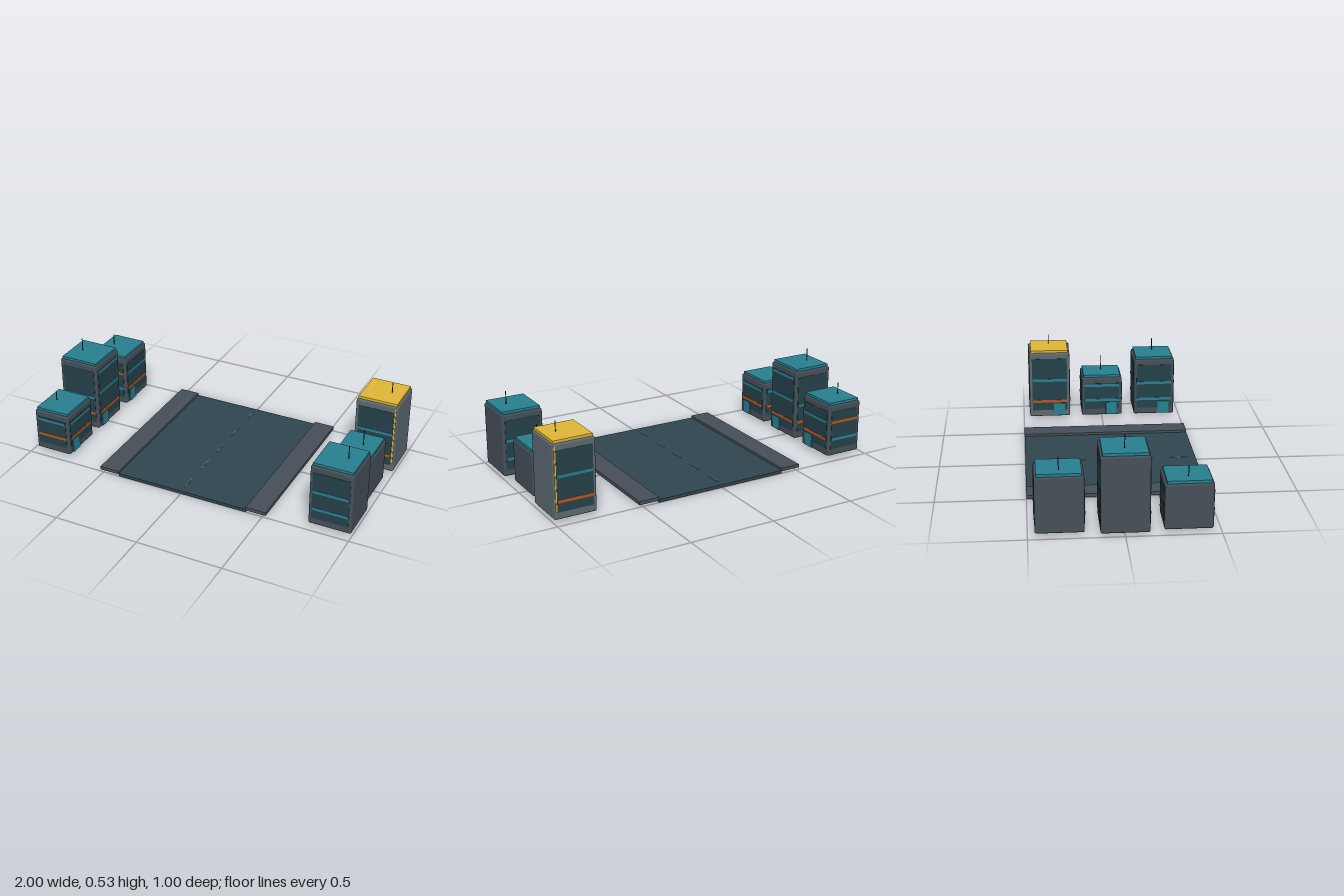
import * as THREE from 'three';
import { RoundedBoxGeometry } from 'three/addons/geometries/RoundedBoxGeometry.js';

const mat = (color) => new THREE.MeshStandardMaterial({ color });
const M = {
  wall: mat(0x454f58), paleWall: mat(0x5c6971), road: mat(0x30454f), walk: mat(0x454f58),
  window: mat(0x25414a), teal: mat(0x288090), yellow: mat(0xe0b636),
  orange: mat(0xb5561f), dash: mat(0x52636b), mast: mat(0x20262b),
};

function box(parent, name, w, h, d, x, y, z, material) {
  const mesh = new THREE.Mesh(new THREE.BoxGeometry(w, h, d), material);
  mesh.name = name;
  mesh.position.set(x, y, z);
  parent.add(mesh);
  return mesh;
}

const BASE = 0.018, INNER = 0.752, DEPTH = 0.256;

// One tower beside the road; side is -1 or 1, the plain wall faces outwards
function building({ side, z, width, top, mast, mastX, bands, roadBands, accent = 'teal', wall = 'wall' }) {
  const g = new THREE.Group();
  g.name = 'building';
  const cx = side * (INNER + width / 2);
  g.position.set(cx, 0, z);
  const height = top - BASE;

  const body = new THREE.Mesh(new RoundedBoxGeometry(width, height, DEPTH, 2, 0.01), M[wall]);
  body.name = 'buildingBody';
  body.position.y = BASE + height / 2;
  g.add(body);

  box(g, 'roofSlab', width - 0.018, 0.015, DEPTH - 0.022, 0, top + 0.0075, 0, M[accent]);
  const pole = new THREE.Mesh(new THREE.CylinderGeometry(0.0025, 0.0025, mast - top, 8), M.mast);
  pole.name = 'antenna';
  pole.position.set(side * mastX - cx, (top + mast) / 2, 0);
  g.add(pole);

  // Window panels and floor bands on both ends and on the road side
  const low = 0.06, high = top - 0.037;
  const mid = (low + high) / 2, span = high - low;
  for (const s of [-1, 1]) {
    const face = s * DEPTH / 2;
    box(g, 'endWindow', width - 0.035, span, 0.004, 0, mid, face, M.window);
    for (const [y, color] of bands)
      box(g, 'endBand', width - 0.04, 0.017, 0.008, 0, y, face, M[color]);
    if (accent === 'yellow')
      box(g, 'cornerTrim', 0.008, top - 0.075, 0.008, side * (width / 2 - 0.012), (top + 0.06) / 2, face, M.yellow);
  }
  const inner = -side * width / 2;
  box(g, 'roadWindow', 0.004, span, DEPTH - 0.035, inner, mid, 0, M.window);
  for (const [y, color] of roadBands || bands)
    box(g, 'roadBand', 0.008, 0.017, DEPTH - 0.036, inner, y, 0, M[color]);
  box(g, 'door', 0.014, 0.08, 0.07, inner, 0.064, 0.06, M.teal);
  return g;
}

export function createModel() {
  const model = new THREE.Group();
  model.name = 'streetBlock';

  // Road, pavements and dashed centre line
  box(model, 'road', 0.8, 0.018, 1, 0, 0.009, 0, M.road);
  for (const s of [-1, 1])
    box(model, 'pavement', 0.12, 0.02, 1, s * 0.46, 0.022, 0, M.walk);
  for (let i = -2; i <= 2; i++)
    box(model, 'laneDash', 0.007, 0.003, 0.1, 0, 0.0185, i * 0.2, M.dash);

  // Three towers on each side
  const warm = [[0.12, 'orange'], [0.226, 'teal']];
  const towers = [
    { side: -1, z: 0.33, width: 0.222, top: 0.27, mast: 0.345, mastX: 0.905, bands: [[0.12, 'orange'], [0.218, 'teal']] },
    { side: -1, z: 0, width: 0.246, top: 0.44, mast: 0.532, mastX: 0.92, bands: warm,
      roadBands: [[0.12, 'orange'], [0.255, 'teal'], [0.393, 'teal']] },
    { side: -1, z: -0.335, width: 0.222, top: 0.328, mast: 0.41, mastX: 0.905,
      bands: [[0.12, 'teal'], [0.226, 'orange']], roadBands: warm },
    { side: 1, z: 0.335, width: 0.246, top: 0.384, mast: 0.475, mastX: 0.915,
      bands: [[0.12, 'teal'], [0.228, 'teal']] },
    { side: 1, z: 0, width: 0.218, top: 0.27, mast: 0.38, mastX: 0.88, bands: [[0.12, 'teal'], [0.218, 'teal']] },
    { side: 1, z: -0.333, width: 0.246, top: 0.44, mast: 0.515, mastX: 0.918,
      bands: [[0.12, 'orange'], [0.26, 'teal']], accent: 'yellow', wall: 'paleWall' },
  ];
  for (const t of towers) model.add(building(t));
  return model;
}
